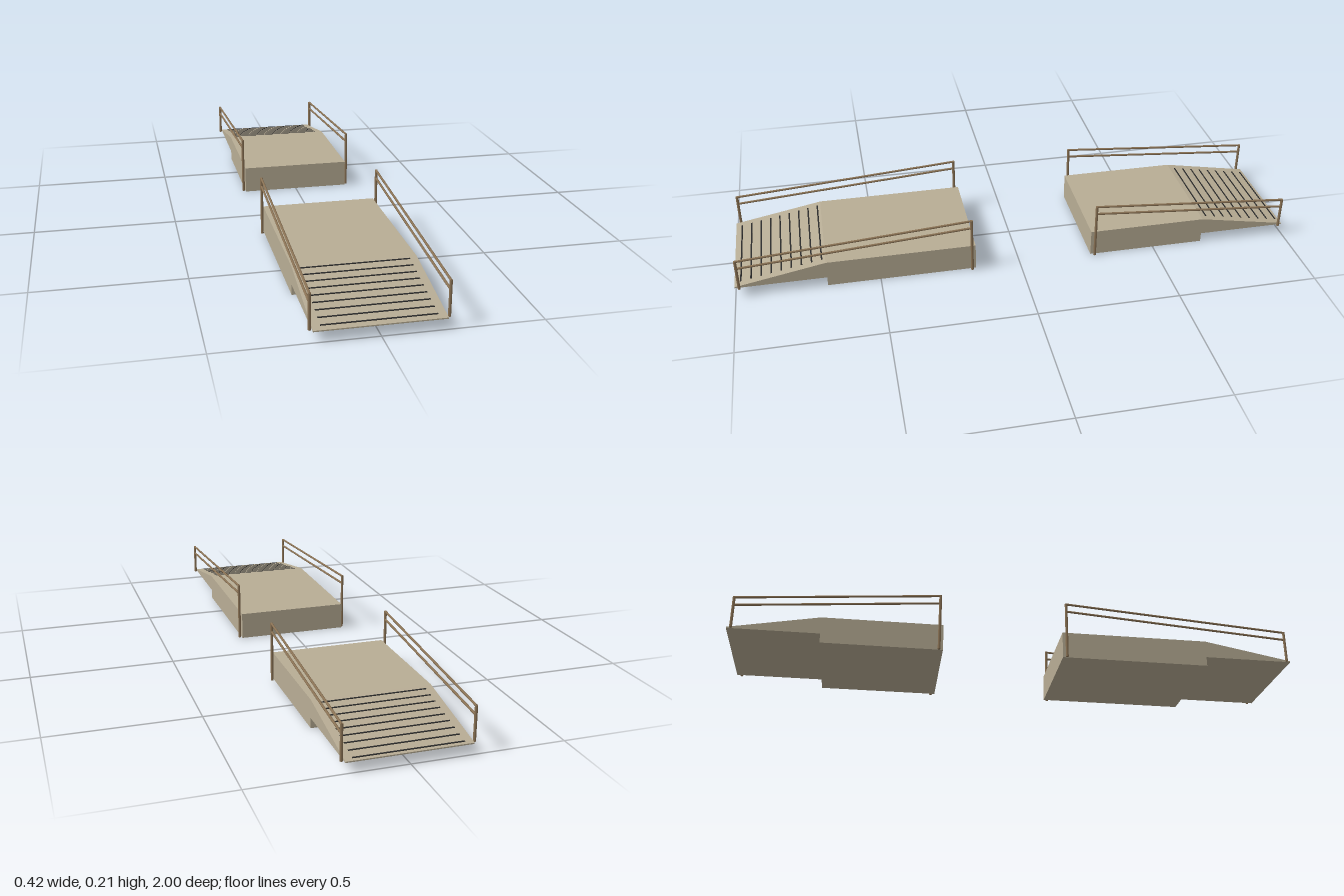
import * as THREE from 'three';

const concrete = new THREE.MeshStandardMaterial({ color: 0xb8ad95 });
concrete.name = 'concrete';
const railBrown = new THREE.MeshStandardMaterial({ color: 0x8b7355 });
railBrown.name = 'rail brown';
const gripDark = new THREE.MeshStandardMaterial({ color: 0x2a2a2a });
gripDark.name = 'grip dark';

const WIDTH = 0.4, DECK_Y = 0.096, LIP_BOTTOM = 0.034, LIP_TOP = 0.038;
const SLOPE_Z = 0.685, END_Z = 1;

// Round bar between two points
function bar(name, a, b, radius) {
  const dir = new THREE.Vector3().subVectors(b, a);
  const mesh = new THREE.Mesh(new THREE.CylinderGeometry(radius, radius, dir.length(), 8), railBrown);
  mesh.position.addVectors(a, b).multiplyScalar(0.5);
  mesh.quaternion.setFromUnitVectors(new THREE.Vector3(0, 1, 0), dir.normalize());
  mesh.name = name;
  return mesh;
}

// Two posts and two sloping rails along one side
function handrail(x, zInner, zOuter) {
  const group = new THREE.Group();
  const p = (y, z) => new THREE.Vector3(x, y, z);
  group.add(
    bar('innerPost', p(0, zInner), p(0.208, zInner), 0.005),
    bar('outerPost', p(LIP_BOTTOM, zOuter), p(0.15, zOuter), 0.005),
    bar('topRail', p(0.206, zInner), p(0.148, zOuter), 0.004),
    bar('middleRail', p(0.177, zInner), p(0.119, zOuter), 0.004)
  );
  return group;
}

// One platform with its ramp; dir is +1 for the front, -1 for the back
function platform(name, dir, innerZ, firstGrip) {
  const group = new THREE.Group();
  group.name = name;

  // Deck and ramp, as one side profile drawn in (z, y) and extruded across x
  const outline = [
    [innerZ, 0], [SLOPE_Z, 0], [SLOPE_Z, LIP_BOTTOM], [END_Z, LIP_BOTTOM],
    [END_Z, LIP_TOP], [SLOPE_Z, DECK_Y], [innerZ, DECK_Y]
  ].map(([z, y]) => new THREE.Vector2(z * dir, y));
  const geo = new THREE.ExtrudeGeometry(new THREE.Shape(outline), { depth: WIDTH, bevelEnabled: false });
  geo.translate(0, 0, -WIDTH / 2).rotateY(-Math.PI / 2);
  const deck = new THREE.Mesh(geo, concrete);
  deck.name = 'deckAndRamp';
  group.add(deck);

  // Grip strips across the slope
  const fall = (DECK_Y - LIP_TOP) / (END_Z - SLOPE_Z);
  for (let i = 0; i < 9; i++) {
    const z = firstGrip + i * 0.0351;
    const strip = new THREE.Mesh(new THREE.BoxGeometry(0.35, 0.003, 0.005), gripDark);
    strip.position.set(0, DECK_Y - (z - SLOPE_Z) * fall, z * dir);
    strip.rotation.x = dir * Math.atan(fall);
    strip.name = 'gripStrip';
    group.add(strip);
  }

  // Handrails
  for (const side of [1, -1]) {
    const rail = handrail(side * 0.207, dir * (innerZ + 0.014), dir * 0.984);
    rail.name = side > 0 ? 'leftHandrail' : 'rightHandrail';
    group.add(rail);
  }
  return group;
}

export function createModel() {
  const model = new THREE.Group();
  model.name = 'rampPair';
  model.add(platform('frontPlatform', 1, 0.16, 0.697));
  model.add(platform('backPlatform', -1, 0.263, 0.706));
  return model;
}
